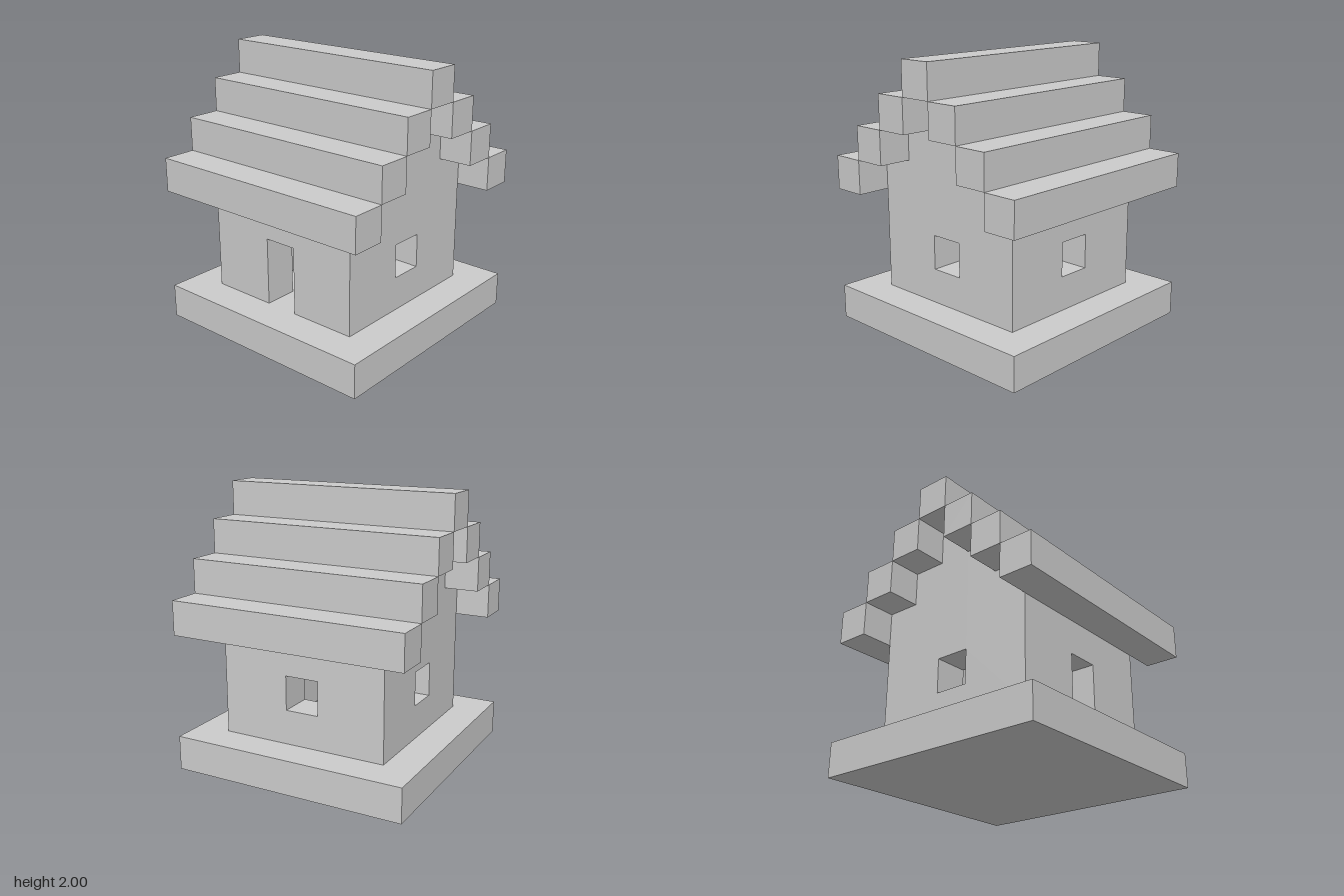
import * as THREE from 'three';

const U = 0.25; // one block
const material = new THREE.MeshStandardMaterial({ color: 0xcccccc, flatShading: true });

function add(parent, name, geometry, x, y, z) {
  const mesh = new THREE.Mesh(geometry, material);
  mesh.name = name;
  mesh.position.set(x, y, z);
  parent.add(mesh);
  return mesh;
}

// One-block-thick slab centred on its own plane
function wallGeometry(points, hole) {
  const shape = new THREE.Shape(points.map(([x, y]) => new THREE.Vector2(x, y)));
  if (hole) shape.holes.push(new THREE.Path(hole.map(([x, y]) => new THREE.Vector2(x, y))));
  return new THREE.ExtrudeGeometry(shape, { depth: U, bevelEnabled: false }).translate(0, 0, -U / 2);
}

export function createModel() {
  const house = new THREE.Group();
  house.name = 'house';

  // Base slab
  add(house, 'base', new THREE.BoxGeometry(7 * U, U, 7 * U), 0, U / 2, 0);

  const w = U / 2;
  const windowHole = [[-w, 0.5], [-w, 0.75], [w, 0.75], [w, 0.5]];

  // Front wall with doorway, back wall with window, fitted between the gables
  const h = 1.5 * U, top = 5 * U;
  const front = [[-h, U], [-w, U], [-w, 0.75], [w, 0.75], [w, U], [h, U], [h, top], [-h, top]];
  const back = [[-h, U], [h, U], [h, top], [-h, top]];
  add(house, 'frontWall', wallGeometry(front), 0, 0, 2 * U);
  add(house, 'backWall', wallGeometry(back, windowHole), 0, 0, -2 * U);

  // Stepped gable walls with windows
  const steps = [[2.5 * U, U]];
  for (let i = 0; i < 3; i++) {
    const half = (2.5 - i) * U;
    steps.push([half, (5 + i) * U]);
    if (i < 2) steps.push([half - U, (5 + i) * U]);
  }
  const gable = [...steps, ...steps.map(([x, y]) => [-x, y]).reverse()];
  for (const side of [-1, 1]) {
    const wall = add(house, side > 0 ? 'leftGable' : 'rightGable', wallGeometry(gable, windowHole), side * 2 * U, 0, 0);
    wall.rotation.y = Math.PI / 2;
  }

  // Roof beams climbing in steps to the ridge
  const roof = new THREE.Group();
  roof.name = 'roof';
  house.add(roof);
  const beam = new THREE.BoxGeometry(7 * U, U, U);
  for (let i = 0; i < 3; i++) {
    for (const side of [-1, 1]) {
      add(roof, side > 0 ? 'frontRoofBeam' : 'backRoofBeam', beam, 0, (4.5 + i) * U, side * (3 - i) * U);
    }
  }
  add(roof, 'ridgeBeam', beam, 0, 7.5 * U, 0);

  return house;
}
